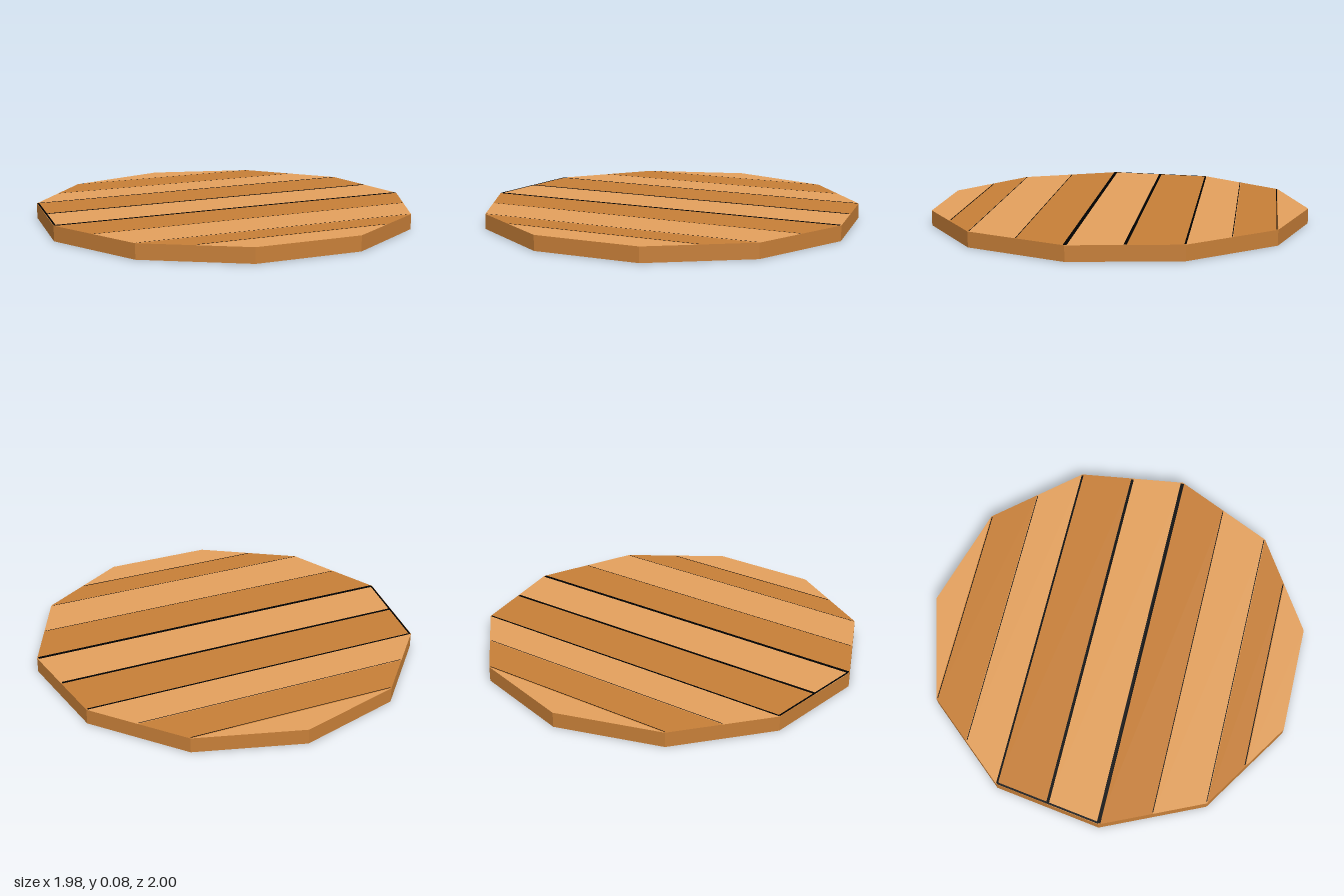
import * as THREE from 'three';

const SIDES = 11, R = 1.0103, HEIGHT = 0.08, CX = -0.0204;

// Outline point by half step: even = corner, odd = middle of an edge
function outline(h, scale = 1) {
  const r = scale * (h % 2 === 0 ? R : R * Math.cos(Math.PI / SIDES));
  const a = (h * Math.PI) / SIDES;
  return [CX + r * Math.cos(a), r * Math.sin(a)]; // x, z
}

function paint(name, color) {
  const material = new THREE.MeshStandardMaterial({ color });
  material.name = name;
  return material;
}

export function createModel() {
  const group = new THREE.Group();
  group.name = 'woodenDisc';
  const lightWood = paint('lightWood', 0xe4a15d);
  const darkWood = paint('darkWood', 0xc77f38);
  const seamBlack = paint('seamBlack', 0x000000);
  const edgeMagenta = paint('edgeMagenta', 0xff00ff);

  const add = (geometry, material, name) => {
    const mesh = new THREE.Mesh(geometry, material);
    mesh.name = name;
    group.add(mesh);
    return mesh;
  };

  // One plank: a striped face on the top and the matching one underneath
  const addPlank = (steps, material, name) => {
    const pts = steps.map((h) => outline(h));
    const top = new THREE.Shape(pts.map(([x, z]) => new THREE.Vector2(x, -z)));
    const bottom = new THREE.Shape(pts.map(([x, z]) => new THREE.Vector2(x, z)));
    add(new THREE.ShapeGeometry(top).rotateX(-Math.PI / 2), material, name + 'Top').position.y = HEIGHT;
    add(new THREE.ShapeGeometry(bottom).rotateX(Math.PI / 2), material, name + 'Bottom');
  };

  // A thin painted line between two outline points, on the top or underneath
  const addLine = (from, to, width, onTop, material, name) => {
    const [x0, z0] = outline(from, 0.993), [x1, z1] = outline(to, 0.993);
    const line = new THREE.PlaneGeometry(Math.hypot(x1 - x0, z1 - z0), width);
    line.rotateX(onTop ? -Math.PI / 2 : Math.PI / 2).rotateY(-Math.atan2(z1 - z0, x1 - x0));
    add(line, material, name).position.set((x0 + x1) / 2, onTop ? HEIGHT + 0.001 : -0.001, (z0 + z1) / 2);
  };

  // Parallel planks run between chords joining step k with step 10 - k
  for (let k = -4; k < 3; k++) {
    addPlank([k, k + 1, 9 - k, 10 - k], k % 2 === 0 ? darkWood : lightWood, 'plank' + (k + 5));
  }
  // End planks close the outline at the back and the front
  addPlank([-8, -6, -4], lightWood, 'backPlank');
  addPlank([3, 4, 6, 7], lightWood, 'frontPlank');

  // Dark seams between the planks, widest near the middle
  const seamWidths = [0.004, 0.004, 0.01, 0.015, 0.019, 0.004, 0.004, 0.005];
  seamWidths.forEach((width, i) => addLine(i - 4, 14 - i, width, true, seamBlack, 'seam' + (i + 1)));
  for (const k of [-2, 0]) addLine(k, 10 - k, 0.008, false, seamBlack, 'undersideSeam');
  addLine(10, 12, 0.01, true, seamBlack, 'rightEdgeSeam');

  // Coloured slivers under the right-hand edge
  for (const h of [8, 10, 12]) addLine(h, h + 1, 0.009, false, edgeMagenta, 'undersideEdge');

  // Faceted rim
  const rim = new THREE.CylinderGeometry(R, R, HEIGHT, SIDES, 1, true, Math.PI / 2).toNonIndexed();
  rim.computeVertexNormals();
  add(rim, darkWood, 'rim').position.set(CX, HEIGHT / 2, 0);

  return group;
}
